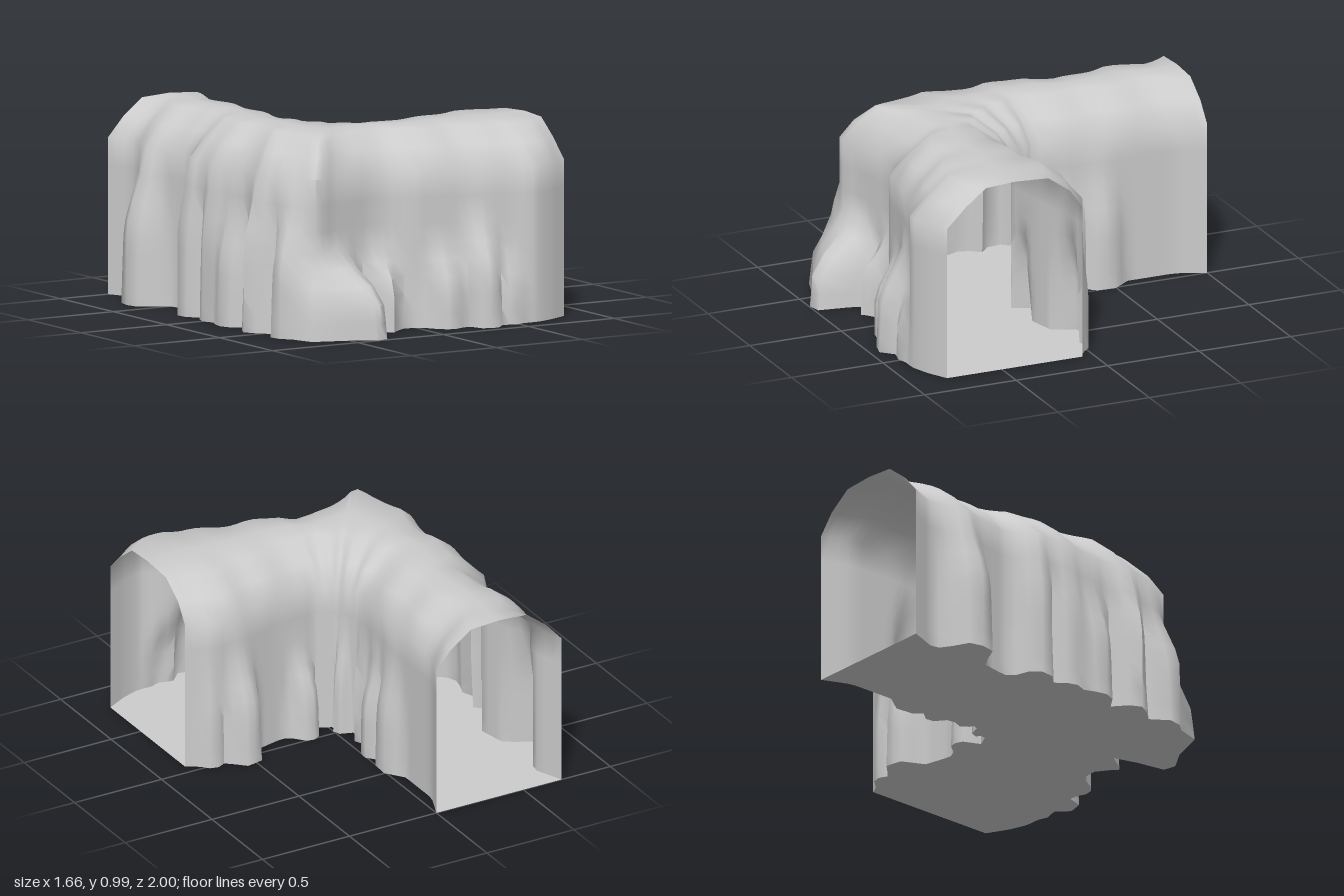
import * as THREE from 'three';
import { toCreasedNormals } from 'three/addons/utils/BufferGeometryUtils.js';

// Wall lines as [x, z]: back arm, bend, side arm
const outerLines = [
  [[-.72, -1], [-.66, -.85], [-.7, -.65], [-.64, -.35], [-.72, -.2], [-.72, 0]],
  [[-.72, 0], [-.69, .3], [-.68, .55], [-.58, .76], [-.48, .71], [-.2, .65], [-.1, .66], [0, .74]],
  [[0, .74], [.3, .79], [.5, .84], [.6, .9], [.72, .86], [.83, .8]],
];
const innerLines = [
  [[0, -1], [-.06, -.85], [-.06, -.5], [-.09, -.08]],
  [[-.09, -.08], [-.04, .05], [.06, .1]],
  [[.06, .1], [.3, .07], [.55, .01], [.7, 0], [.83, .06]],
];
const steps = [20, 24, 20];

// Rock bulges as [rib, depth, half width in ribs, height]
const outerBulges = [
  [7, .13, 2.8, .85], [16, .08, 2.2, .95], [20, .07, 2, .9], [23, .1, 2.2, .7],
  [27, .12, 2, .95], [31, .14, 2.4, .75], [34, .19, 2.2, .43], [36, .3, 3, .44],
  [41, .16, 2.4, .45], [47.5, .11, 3, .45], [52, .145, 3, .6], [55.5, .07, 2, .4],
];
const innerBulges = [
  [12, .07, 3, .7], [15.5, .08, 2, .6], [19, .05, 1.5, .7], [30, .05, 6, .6],
  [46, .1, 2.4, .5], [56, .1, 3, .65], [60.5, .03, 2, .6],
];
const wallHeights = [0, .08, .17, .26, .34, .42, .52, .65, .79];

// Evenly spaced points along the three parts of a wall line
function stations(lines) {
  return lines.flatMap((line, k) => {
    const path = new THREE.Path(line.map(([x, z]) => new THREE.Vector2(x, z)));
    return path.getSpacedPoints(steps[k]).slice(k ? 1 : 0);
  });
}

// Blunt bulge that narrows with height and fades into the wall
function bulge([at, depth, width, height], i, y) {
  const reach = width * (1 - .35 * Math.min(1, y / height));
  const round = Math.min(1, 1.5 * Math.max(0, 1 - Math.abs(i - at) / reach));
  return depth * round * (1 - THREE.MathUtils.smoothstep(y, height * .4, height));
}

// Wall at one rib, from the ground up, pushed outward by the bulges
function wall(line, i, bulges, side) {
  const p = line[i];
  const along = line[Math.min(i + 1, line.length - 1)].clone()
    .sub(line[Math.max(i - 1, 0)]).normalize();
  return wallHeights.map(y => {
    const push = side * Math.max(...bulges.map(b => bulge(b, i, y)));
    return [p.x - along.y * push, y, p.y + along.x * push];
  });
}

// Chamfered roof between the two wall tops
function roof([ax, ay, az], [bx, , bz], i) {
  const a = new THREE.Vector3(ax, ay, az), across = new THREE.Vector3(bx - ax, 0, bz - az);
  const width = across.length(), wave = .015 * Math.sin(i * .9);
  const at = (d, y) => a.clone().addScaledVector(across, d / width).setY(y).toArray();
  return [at(.09 + wave, .89), at(.2 + wave, .975), at(width / 2, .985),
    at(width - .2 + wave, .975), at(width - .08 + wave, .89)];
}

export function createModel() {
  const model = new THREE.Group();
  model.name = 'tunnelBend';
  const material = new THREE.MeshStandardMaterial({ color: 0xcccccc, side: THREE.DoubleSide });

  // Arches along the whole passage
  const outer = stations(outerLines), inner = stations(innerLines);
  const ribs = outer.map((_, i) => {
    const a = wall(outer, i, outerBulges, 1), b = wall(inner, i, innerBulges, -1).reverse();
    return [...a, ...roof(a.at(-1), b[0], i), ...b];
  });

  // Rock shell, open at both ends
  const m = ribs[0].length, index = [];
  for (let i = 0; i < ribs.length - 1; i++) {
    for (let j = 0; j < m - 1; j++) {
      const a = i * m + j, b = a + m;
      index.push(a, b, a + 1, b, b + 1, a + 1);
    }
  }
  const shell = new THREE.BufferGeometry();
  shell.setAttribute('position', new THREE.Float32BufferAttribute(ribs.flat(2), 3));
  shell.setIndex(index);
  const rock = new THREE.Mesh(toCreasedNormals(shell, 1.1), material);
  rock.name = 'rockShell';
  model.add(rock);

  // Flat floor filling the ground outline
  const edge = [...ribs.map(r => r[0]), ...ribs.map(r => r[m - 1]).reverse()];
  const shape = new THREE.Shape(edge.map(([x, , z]) => new THREE.Vector2(x, -z)));
  const floor = new THREE.Mesh(new THREE.ShapeGeometry(shape).rotateX(-Math.PI / 2), material);
  floor.name = 'floor';
  model.add(floor);

  return model;
}
